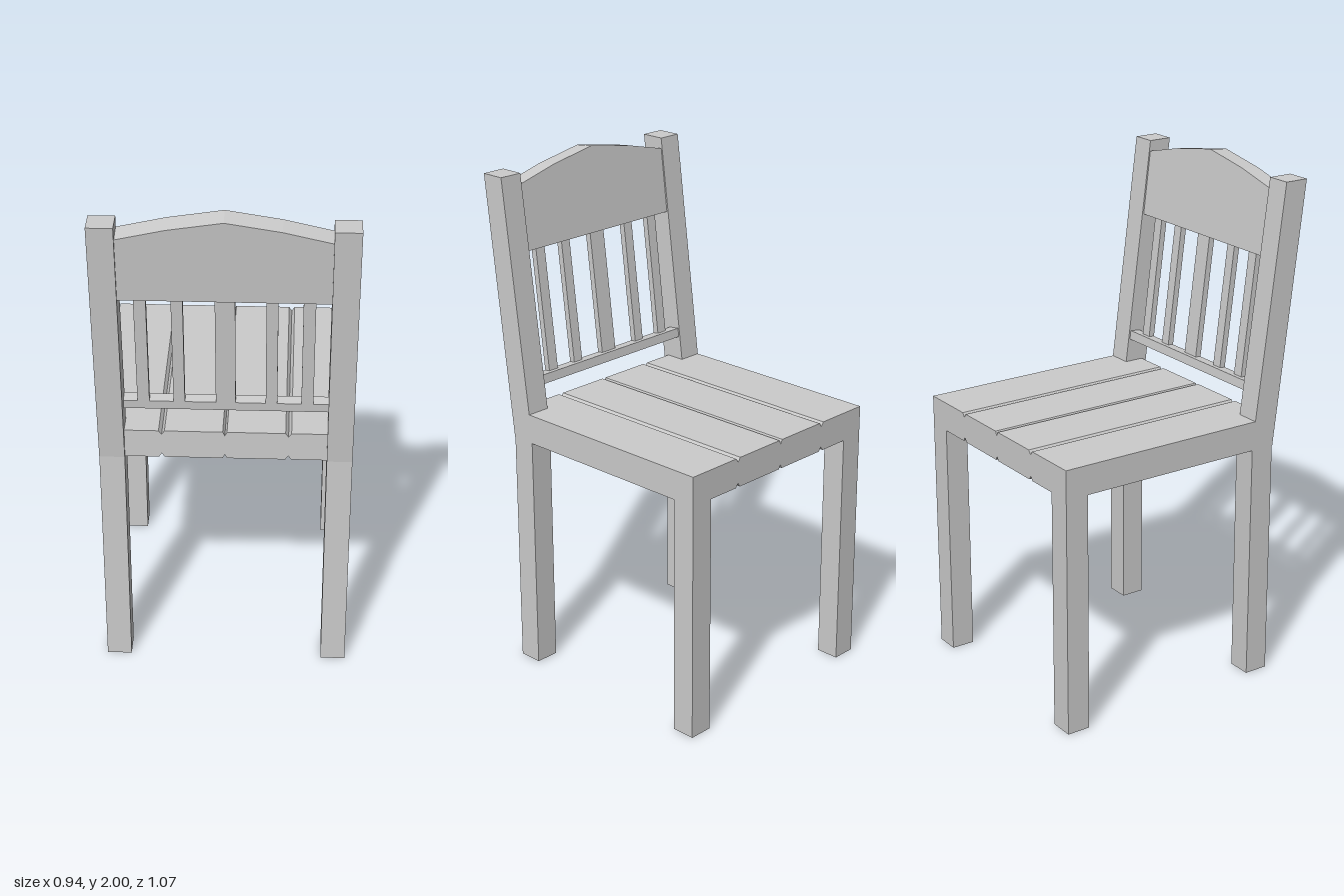
import * as THREE from 'three';

const material = new THREE.MeshStandardMaterial({ color: 0xcccccc, flatShading: true });

function add(parent, name, geometry, x = 0, y = 0, z = 0) {
  const mesh = new THREE.Mesh(geometry, material);
  mesh.name = name;
  mesh.position.set(x, y, z);
  parent.add(mesh);
  return mesh;
}

// Box given by its minimum and maximum corners
function block(parent, name, [x0, y0, z0], [x1, y1, z1]) {
  return add(parent, name, new THREE.BoxGeometry(x1 - x0, y1 - y0, z1 - z0),
    (x0 + x1) / 2, (y0 + y1) / 2, (z0 + z1) / 2);
}

function extrude(points, depth) {
  const shape = new THREE.Shape(points.map(([x, y]) => new THREE.Vector2(x, y)));
  return new THREE.ExtrudeGeometry(shape, { depth, bevelEnabled: false });
}

export function createModel() {
  const chair = new THREE.Group();
  chair.name = 'chair';

  const half = 0.47, inner = 0.375;
  const seatBottom = 0.945, seatTop = 1.06;

  // Seat slab with V grooves between the planks, above and below
  const grooves = [[-0.237, 0.011], [-0.003, 0.008], [0.232, 0.011]];
  const depth = 0.016;
  const bottom = [[-half, seatBottom]], top = [[-half, seatTop]];
  for (const [x, w] of grooves) {
    bottom.push([x - w, seatBottom], [x, seatBottom + depth], [x + w, seatBottom]);
    top.push([x - w, seatTop], [x, seatTop - depth], [x + w, seatTop]);
  }
  bottom.push([half, seatBottom]);
  top.push([half, seatTop]);
  add(chair, 'seat', extrude([...bottom, ...top.reverse()], 0.932), 0, 0, -0.53);

  // Legs and leaning back posts; the chair opens toward -z
  const postProfile = [[-0.31, seatBottom], [-0.41, seatBottom], [-0.535, 1.965], [-0.44, 1.965]].reverse();
  for (const [label, x0, x1] of [['left', inner, half], ['right', -half, -inner]]) {
    block(chair, label + 'OpenSideLeg', [x0, 0, -0.53], [x1, seatBottom, -0.437]);
    block(chair, label + 'BackrestLeg', [x0, 0, 0.313], [x1, seatBottom, 0.408]);
    const post = add(chair, label + 'BackPost', extrude(postProfile, x1 - x0), x0);
    post.rotation.y = Math.PI / 2;
  }

  // Tilted back panel, origin at the lower front edge of the top board
  const back = new THREE.Group();
  back.name = 'backrest';
  back.position.set(0, 1.67, 0.409);
  back.rotation.x = 0.121;
  chair.add(back);

  const w = inner + 0.005;
  add(back, 'topBoard', extrude([[-w, 0], [w, 0], [w, 0.254], [0.2, 0.298],
    [0, 0.332], [-0.2, 0.298], [-w, 0.254]], 0.08));
  block(back, 'lowerRail', [-w, -0.52, -0.003], [w, -0.484, 0.042]);

  // Upright slats, the middle one wider
  for (const [x, width] of [[-0.301, 0.044], [-0.17, 0.042], [0, 0.072], [0.167, 0.042], [0.298, 0.044]]) {
    block(back, 'slat', [x - width / 2, -0.49, 0.018], [x + width / 2, 0.01, 0.042]);
  }

  return chair;
}
